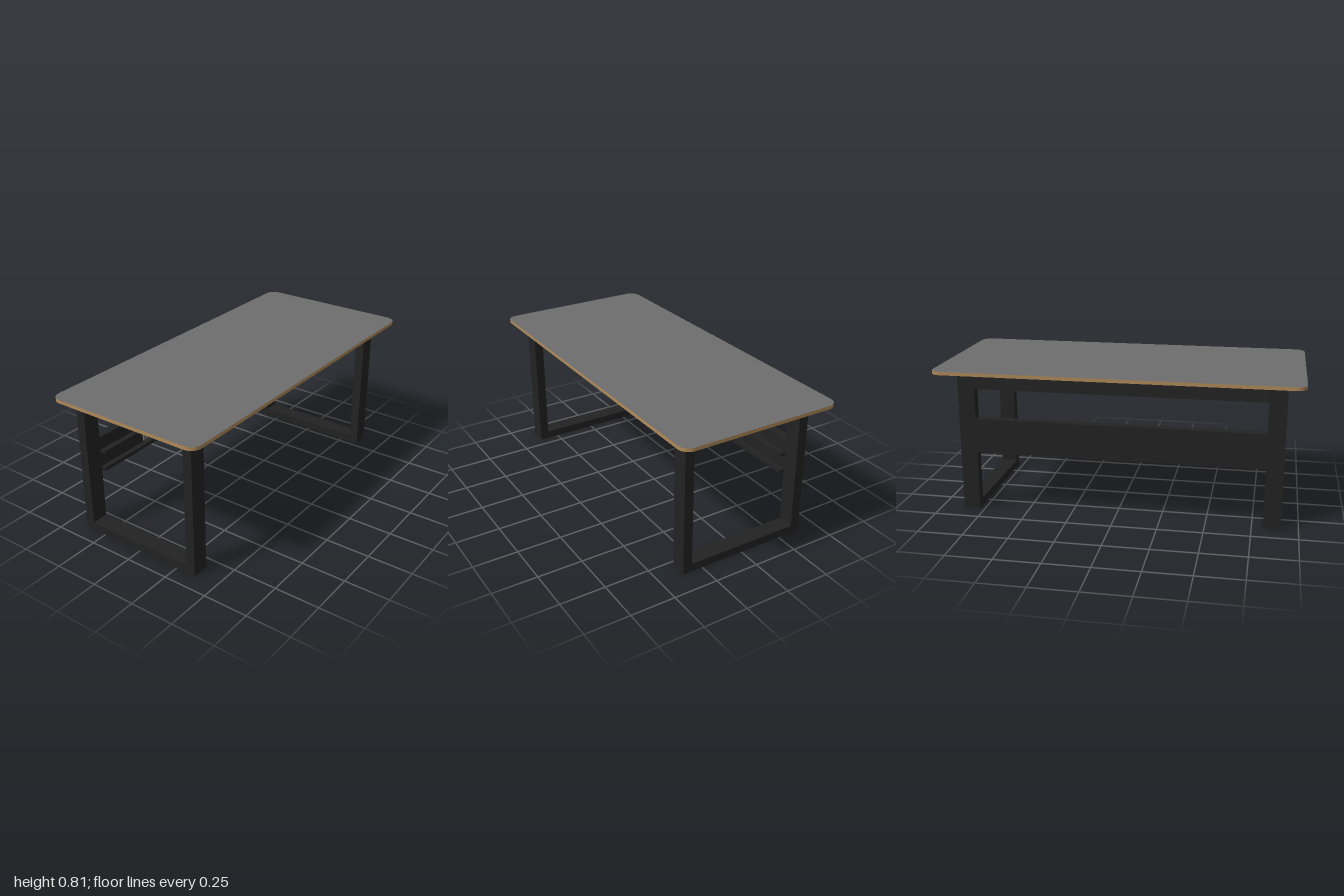
import * as THREE from 'three';

const mat = (name, color) => {
  const m = new THREE.MeshStandardMaterial({ color });
  m.name = name;
  return m;
};

export function createModel() {
  const model = new THREE.Group();
  model.name = 'desk';
  const steel = mat('black steel', 0x222222);
  const wood = mat('wood', 0xb08a58);
  const grey = mat('grey', 0x6e6e6e);

  // Box given by its minimum and maximum on each axis
  const box = (name, [x0, x1], [y0, y1], [z0, z1], material, parent = model) => {
    const mesh = new THREE.Mesh(new THREE.BoxGeometry(x1 - x0, y1 - y0, z1 - z0), material);
    mesh.position.set((x0 + x1) / 2, (y0 + y1) / 2, (z0 + z1) / 2);
    mesh.name = name;
    parent.add(mesh);
  };

  // Rounded rectangular board lying flat
  const board = (name, y0, y1, materials) => {
    const w = 0.46, d = 1, r = 0.06;
    const s = new THREE.Shape();
    s.moveTo(w, d - r);
    s.absarc(w - r, d - r, r, 0, Math.PI / 2);
    s.absarc(-w + r, d - r, r, Math.PI / 2, Math.PI);
    s.absarc(-w + r, -d + r, r, Math.PI, Math.PI * 1.5);
    s.absarc(w - r, -d + r, r, Math.PI * 1.5, Math.PI * 2);
    const geo = new THREE.ExtrudeGeometry(s, { depth: y1 - y0, bevelEnabled: false, curveSegments: 8 });
    geo.rotateX(-Math.PI / 2);
    const mesh = new THREE.Mesh(geo, materials);
    mesh.position.y = y0;
    mesh.name = name;
    model.add(mesh);
  };
  board('tabletop', 0.788, 0.806, wood);
  board('tabletopLaminate', 0.806, 0.807, [grey, wood]);

  // U-shaped leg frames at both ends
  const frames = { frontFrame: [0.812, 0.907], backFrame: [-0.87, -0.777] };
  for (const [name, z] of Object.entries(frames)) {
    const frame = new THREE.Group();
    frame.name = name;
    box('rightLeg', [-0.385, -0.332], [0.045, 0.788], z, steel, frame);
    box('leftLeg', [0.314, 0.366], [0.045, 0.788], z, steel, frame);
    box('floorRail', [-0.385, 0.366], [0, 0.045], z, steel, frame);
    model.add(frame);
  }

  // Long members joining the frames along one side
  const span = [-0.777, 0.812];
  box('topBeam', [-0.385, -0.332], [0.7, 0.788], span, steel);
  box('cablePanel', [-0.385, -0.334], [0.335, 0.53], span, steel);
  box('upperLip', [-0.334, -0.301], [0.44, 0.456], span, steel);
  box('lowerLip', [-0.334, -0.305], [0.335, 0.356], span, steel);

  // Sockets set on the panel between the lips
  for (const z of [0.46, 0.217, -0.085, -0.33]) {
    box('socket', [-0.334, -0.326], [0.364, 0.43], [z - 0.02, z + 0.02], grey);
  }
  return model;
}
